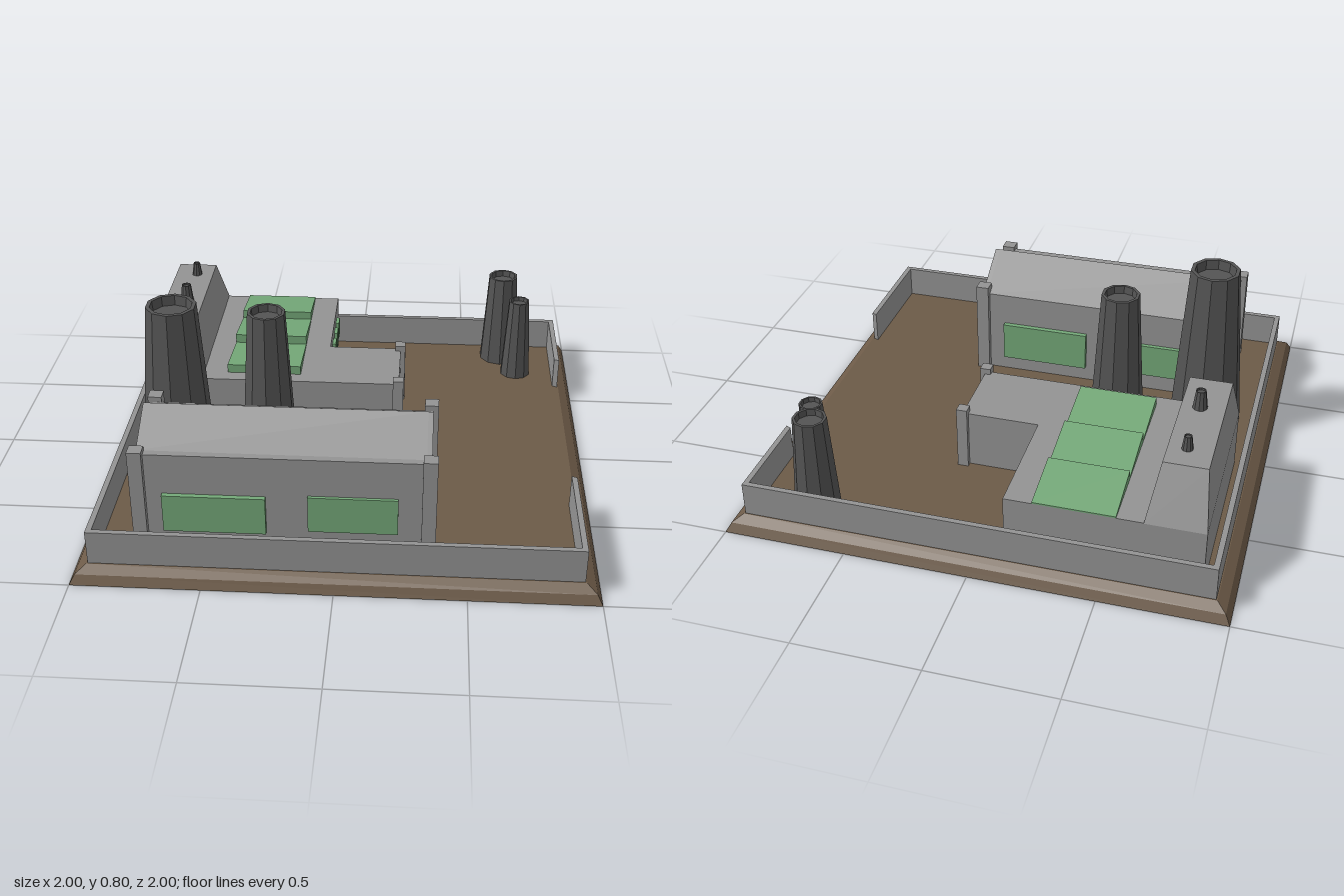
import * as THREE from 'three';

const mat = (name, color, side = THREE.FrontSide) => {
  const m = new THREE.MeshStandardMaterial({ color, side });
  m.name = name;
  return m;
};

export function createModel() {
  const model = new THREE.Group();
  model.name = 'factoryYard';
  const grey = mat('concreteGrey', 0x939393);
  const dark = mat('chimneyGrey', 0x545454, THREE.DoubleSide);
  const doorGrey = mat('doorGrey', 0x656565);
  const green = mat('glassGreen', 0x74a878);
  const brown = mat('earthBrown', 0x6c5a47, THREE.DoubleSide);
  const footing = 0.03; // depth reached by parts sunk through the ground
  const floor = 0.061; // start of parts standing on the ground

  // Adds a mesh with one normal per face
  const add = (name, geometry, material) => {
    const g = geometry.index ? geometry.toNonIndexed() : geometry;
    g.computeVertexNormals();
    const mesh = new THREE.Mesh(g, material);
    mesh.name = name;
    model.add(mesh);
  };
  // Box between two corners; top corners are pulled in by the given insets
  const block = (name, material, [x0, x1], [y0, y1], [z0, z1], inset = [0, 0, 0, 0]) => {
    const g = new THREE.BoxGeometry(1, 1, 1);
    const p = g.attributes.position;
    for (let i = 0; i < p.count; i++) {
      const top = p.getY(i) > 0 ? 1 : 0;
      const x = p.getX(i) < 0 ? x0 + top * inset[0] : x1 - top * inset[1];
      const z = p.getZ(i) < 0 ? z0 + top * inset[2] : z1 - top * inset[3];
      p.setXYZ(i, x, top ? y1 : y0, z);
    }
    add(name, g, material);
  };
  const points = pts => pts.map(([a, b]) => new THREE.Vector2(a, b));
  // Extrudes a (z, y) section along x
  const section = (name, material, pts, x0, x1, hole) => {
    const flip = list => points(list.map(([z, y]) => [-z, y]));
    const s = new THREE.Shape(flip(pts));
    if (hole) s.holes.push(new THREE.Path(flip(hole)));
    const g = new THREE.ExtrudeGeometry(s, { depth: x1 - x0, bevelEnabled: false });
    add(name, g.rotateY(Math.PI / 2).translate(x0, 0, 0), material);
  };
  // Building whose +x end has a recessed doorway
  const hallWithDoor = (name, pts, x0, x1, [z0, z1], doorTop) => {
    const cut = x1 - 0.02, sill = floor + 0.002;
    section(name + 'Body', grey, pts, x0, cut);
    section(name + 'EndWall', grey, pts, cut, x1, [[z0, sill], [z1, sill], [z1, doorTop], [z0, doorTop]]);
    block(name + 'Door', doorGrey, [cut - 0.005, cut + 0.004], [sill, doorTop], [z0, z1]);
  };
  const post = (name, x, z, w, h) =>
    block(name, grey, [x - w / 2, x + w / 2], [footing, h], [z - w / 2, z + w / 2]);

  // Square ground sheet with a two-step sloping rim, open underneath
  const rim = points([[1, 0], [0.98, 0.036], [0.942, 0.06], [0, 0.06]].map(([r, y]) => [r * Math.SQRT2, y]));
  add('ground', new THREE.LatheGeometry(rim, 4, Math.PI / 4), brown);

  // Perimeter wall, open at the gate on the +x side
  const outer = 0.937, inner = 0.915;
  const wall = new THREE.Shape(points([
    [outer, 0.52], [outer, outer], [-outer, outer], [-outer, -outer], [outer, -outer], [outer, -0.45],
    [inner, -0.44], [inner, -inner], [-inner, -inner], [-inner, inner], [inner, inner], [inner, 0.53],
  ]));
  const wallGeometry = new THREE.ExtrudeGeometry(wall, { depth: 0.2 - footing, bevelEnabled: false });
  add('perimeterWall', wallGeometry.rotateX(-Math.PI / 2).translate(0, footing, 0), grey);

  // Front gabled workshop with corner posts
  hallWithDoor('workshop', [
    [0.79, floor], [0.79, 0.46], [0.76, 0.46], [0.578, 0.56], [0.37, 0.44], [0.37, floor],
  ], -0.758, 0.355, [0.43, 0.735], 0.27);
  for (const x of [-0.755, 0.35])
    for (const z of [0.373, 0.787]) post('workshopPost', x, z, 0.055, 0.48);

  // Workshop windows
  const windows = [
    [-0.665, -0.27, 0.13, 0.29, 0.785, 0.81], [-0.11, 0.233, 0.145, 0.3, 0.785, 0.803],
    [-0.605, -0.345, 0.14, 0.29, 0.352, 0.375], [-0.13, 0.253, 0.13, 0.3, 0.348, 0.375],
  ];
  for (const [x0, x1, y0, y1, z0, z1] of windows)
    block('workshopWindow', green, [x0, x1], [y0, y1], [z0, z1]);

  // Rear main block and its wing
  block('mainBlock', grey, [-0.65, -0.112], [floor, 0.31], [-0.883, -0.06]);
  hallWithDoor('wing', [[-0.06, floor], [-0.06, 0.31], [-0.387, 0.31], [-0.387, floor]],
    -0.112, 0.207, [-0.34, -0.097], 0.265);
  for (const z of [-0.06, -0.385]) post('wingPost', 0.205, z, 0.045, 0.335);

  // Sawtooth skylights, high at the front edge
  for (const [z0, z1, h] of [[-0.883, -0.643, 0.352], [-0.643, -0.392, 0.355], [-0.392, -0.122, 0.348]])
    section('skylight', green, [[z1, 0.305], [z1, h], [z0, 0.316], [z0, 0.305]], -0.543, -0.223);
  // Small side windows
  for (const z of [-0.535, -0.642, -0.747])
    block('sideWindow', green, [-0.12, -0.097], [0.18, 0.26], [z - 0.03, z + 0.03]);

  // Tall hall with sloped upper storey
  block('tallHallBase', grey, [-0.88, -0.646], [footing, 0.31], [-0.886, -0.09]);
  block('tallHallRoof', grey, [-0.88, -0.646], [0.31, 0.52], [-0.886, -0.09], [0.025, 0.038, 0.105, 0.108]);

  // Ten-sided hollow chimneys: x, z, base y, top y, base radius, top radius
  const chimneys = [
    [-0.704, 0.205, footing, 0.795, 0.158, 0.103], [-0.341, 0.062, footing, 0.705, 0.12, 0.08],
    [0.676, -0.817, footing, 0.487, 0.095, 0.067], [0.746, -0.656, footing, 0.437, 0.071, 0.047],
    [-0.757, -0.398, 0.51, 0.597, 0.031, 0.02], [-0.757, -0.676, 0.51, 0.577, 0.024, 0.015],
  ];
  for (const [x, z, y0, y1, r0, r1] of chimneys) {
    const pit = y1 - r1 * 0.4;
    const profile = points([[r0, y0], [r1, y1], [r1 * 0.84, y1], [r1 * 0.8, pit], [0, pit]]);
    add('chimney', new THREE.LatheGeometry(profile, 10).translate(x, 0, z), dark);
  }
  return model;
}
